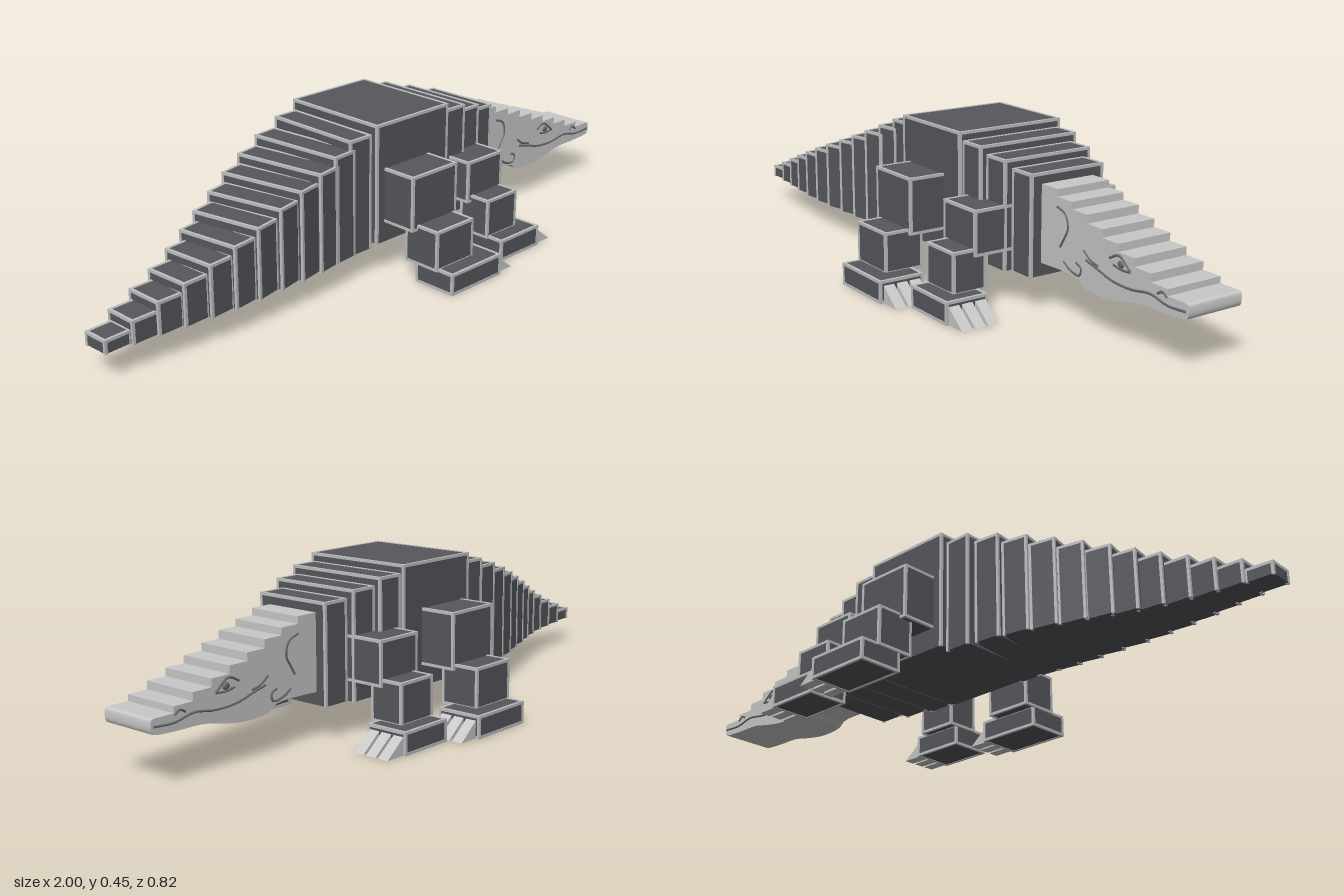
import * as THREE from 'three';

const mat = (name, color) => Object.assign(new THREE.MeshStandardMaterial({ color }), { name });

export function createModel() {
  const hide = mat('dark hide', 0x56575c);
  const trim = mat('pale edge', 0xbfc0c2);
  const bone = mat('light grey head', 0xc8c8c8);
  const ink = mat('grey line', 0x6c6c6e);
  const model = new THREE.Group();
  model.name = 'blockyReptile';

  const add = (parent, name, geo, material, x = 0, y = 0, z = 0) => {
    const m = new THREE.Mesh(geo, material);
    m.name = name;
    m.position.set(x, y, z);
    parent.add(m);
    return m;
  };

  // A dark block whose edges carry thin pale bars
  const block = (parent, name, [x0, x1], [y0, y1], [z0, z1], bottomEdges, yaw = 0) => {
    const g = new THREE.Group();
    g.name = name;
    g.position.set((x0 + x1) / 2, (y0 + y1) / 2, (z0 + z1) / 2);
    g.rotation.y = yaw;
    parent.add(g);
    const w = x1 - x0, h = y1 - y0, d = z1 - z0, t = 0.008;
    add(g, 'core', new THREE.BoxGeometry(w - 0.003, h - 0.003, d - 0.003), hide);
    const X = (w - t) / 2, Y = (h - t) / 2, Z = (d - t) / 2;
    for (const a of [-1, 1]) {
      for (const b of [-1, 1]) {
        add(g, 'uprightEdge', new THREE.BoxGeometry(t, h, t), trim, a * X, 0, b * Z);
      }
      if (a < 0 && !bottomEdges) continue;
      for (const b of [-1, 1]) {
        add(g, 'longEdge', new THREE.BoxGeometry(w, t, t), trim, 0, a * Y, b * Z);
        add(g, 'crossEdge', new THREE.BoxGeometry(t, t, d), trim, b * X, a * Y, 0);
      }
    }
    return g;
  };

  // Trunk and neck: x range, top, half width
  [[-0.10, 0.19, 0.452, 0.172], [0.19, 0.275, 0.428, 0.162],
    [0.275, 0.36, 0.404, 0.143], [0.36, 0.445, 0.38, 0.12]].forEach(([a, b, top, hw], i) =>
    block(model, i ? 'neck' + i : 'trunk', [a, b], [0.098, top], [-hw, hw], false));

  // Tail: centre x, centre z, half width, yaw in degrees
  [[-0.145, 0, 0.155, 0], [-0.225, 0.012, 0.15, 6], [-0.3, 0.027, 0.145, 10],
    [-0.375, 0.041, 0.135, 12], [-0.45, 0.056, 0.122, 13], [-0.525, 0.071, 0.11, 12],
    [-0.595, 0.084, 0.097, 9], [-0.665, 0.095, 0.083, 6], [-0.738, 0.102, 0.069, 4],
    [-0.81, 0.105, 0.058, 2], [-0.882, 0.107, 0.049, 2], [-0.959, 0.109, 0.039, 3]]
    .forEach(([x, z, hw, yaw], i) => block(model, 'tail' + (i + 1), [x - 0.041, x + 0.041],
      [0.083, 0.424 - i * 0.0275], [z - hw, z + hw], false, yaw * Math.PI / 180));

  // Head: stepped crown and curved jaw, extruded sideways
  const head = new THREE.Group();
  head.name = 'head';
  model.add(head);
  const xs = [0.44, 0.51, 0.57, 0.63, 0.69, 0.75, 0.81, 0.87, 0.93, 0.99];
  const tops = [0.35, 0.33, 0.31, 0.287, 0.265, 0.244, 0.222, 0.2, 0.183];
  const outline = new THREE.Shape();
  outline.moveTo(0.44, 0.135);
  outline.splineThru([[0.52, 0.138], [0.59, 0.135], [0.625, 0.116], [0.7, 0.112], [0.77, 0.122],
    [0.84, 0.136], [0.92, 0.138], [0.985, 0.142], [1, 0.152], [1, 0.178], [0.99, 0.183]]
    .map(([x, y]) => new THREE.Vector2(x, y)));
  for (let i = tops.length - 1; i >= 0; i--) {
    outline.lineTo(xs[i + 1], tops[i]);
    outline.lineTo(xs[i], tops[i]);
  }
  add(head, 'skull', new THREE.ExtrudeGeometry(outline,
    { depth: 0.17, bevelEnabled: false, curveSegments: 40 }), bone, 0, 0, -0.085);

  // Drawn lines on both cheeks: mouth, jaw folds, brow, lids and nostril
  const lines = [
    [[0.995, 0.163], [0.93, 0.16], [0.87, 0.172], [0.8, 0.163], [0.73, 0.166], [0.67, 0.182], [0.63, 0.192]],
    [[0.51, 0.305], [0.545, 0.29], [0.555, 0.255], [0.54, 0.225], [0.525, 0.2]],
    [[0.54, 0.165], [0.57, 0.148], [0.605, 0.145], [0.61, 0.165], [0.59, 0.175]],
    [[0.62, 0.215], [0.65, 0.195], [0.68, 0.188]],
    [[0.72, 0.222], [0.755, 0.236], [0.8, 0.205]],
    [[0.735, 0.208], [0.765, 0.203], [0.8, 0.205]],
    [[0.895, 0.18], [0.912, 0.188], [0.93, 0.178]],
  ];
  for (const s of [-1, 1]) {
    for (const pts of lines) {
      const curve = new THREE.CatmullRomCurve3(pts.map(([x, y]) => new THREE.Vector3(x, y, s * 0.085)));
      add(head, 'cheekLine', new THREE.TubeGeometry(curve, 24, 0.0035, 5), ink);
    }
    const eye = add(head, 'eye', new THREE.SphereGeometry(0.012, 12, 8), ink, 0.763, 0.216, s * 0.085);
    eye.scale.set(1, 0.8, 0.4);
  }

  // Legs: upper block, lower block, foot and three wedge claws, mirrored in z
  const clawShape = new THREE.Shape([[0, 0.003], [0.062, 0.003], [0, 0.052]]
    .map(([x, y]) => new THREE.Vector2(x, y)));
  const clawGeo = new THREE.ExtrudeGeometry(clawShape, { depth: 0.032, bevelEnabled: false });
  clawGeo.translate(0, 0, -0.016);
  const legs = [
    { name: 'rearLeg', upper: [[-0.07, 0.11], [0.16, 0.322], [0.15, 0.281]],
      lower: [[-0.05, 0.1], [0.058, 0.177], [0.235, 0.356]], foot: [[-0.045, 0.16], [0.002, 0.066], [0.272, 0.41]] },
    { name: 'frontLeg', upper: [[0.21, 0.36], [0.155, 0.282], [0.1, 0.238]],
      lower: [[0.225, 0.355], [0.058, 0.177], [0.198, 0.303]], foot: [[0.23, 0.4], [0.002, 0.066], [0.225, 0.355]] },
  ];
  for (const s of [-1, 1]) {
    for (const leg of legs) {
      const g = new THREE.Group();
      g.name = leg.name;
      model.add(g);
      for (const part of ['upper', 'lower', 'foot']) {
        const [x, y, z] = leg[part];
        block(g, part, x, y, s > 0 ? z : [-z[1], -z[0]], true);
      }
      const [fx, , fz] = leg.foot;
      for (const k of [-1, 0, 1]) {
        add(g, 'claw', clawGeo, bone, fx[1], 0, s * ((fz[0] + fz[1]) / 2 + k * 0.041));
      }
    }
  }
  return model;
}
